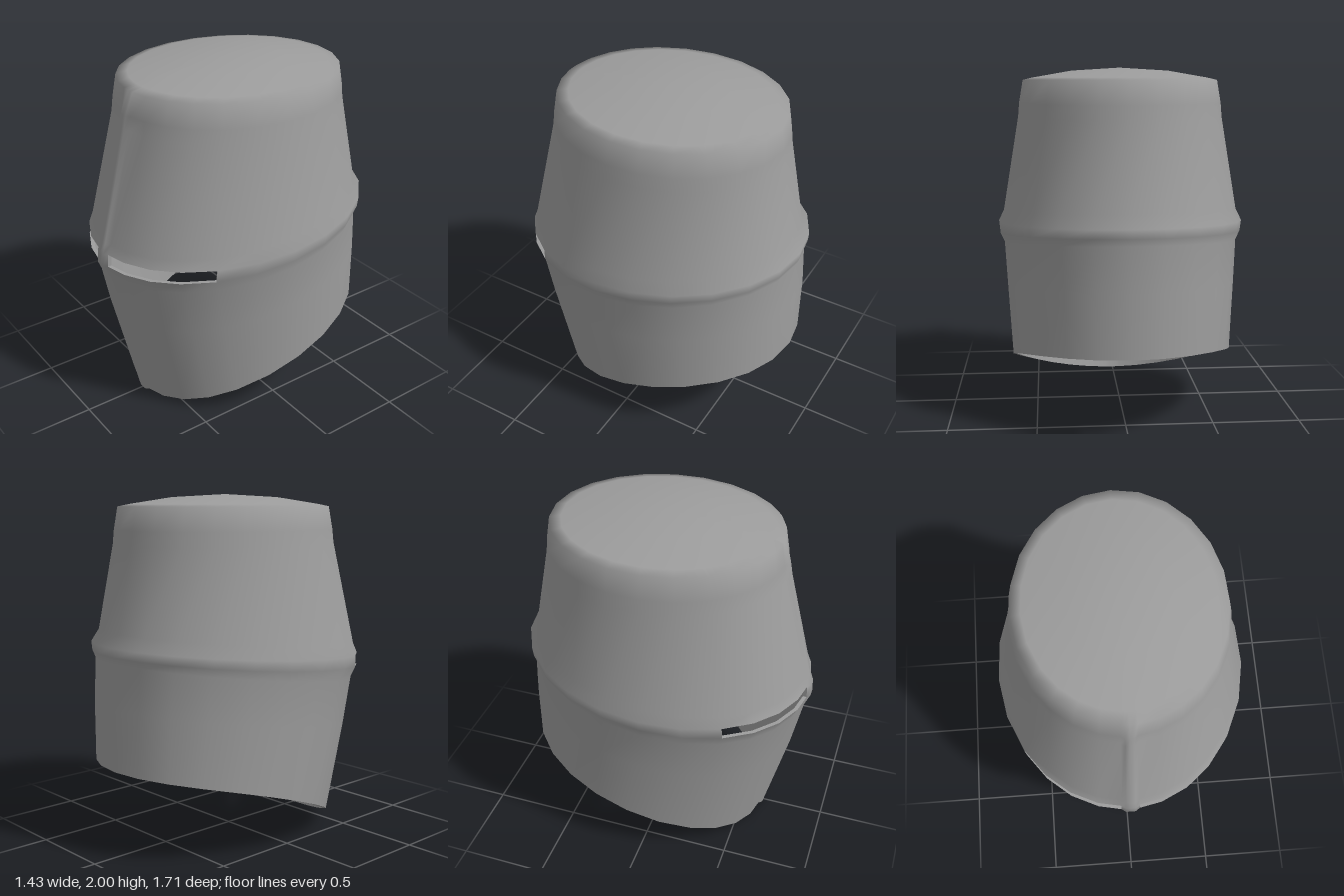
import * as THREE from 'three';

// Rings from the bottom up: half width, front z, back z, front y, back y, sideways bow, nose ridge height
const RINGS = [
  [0.642, 0.605, -0.850, 0.00, 0.49, 0.08, 0.02],
  [0.670, 0.742, -0.850, 0.58, 0.84, 0.02, 0.022],
  [0.686, 0.800, -0.834, 0.88, 1.09, 0, 0.022],
  [0.712, 0.838, -0.850, 0.96, 1.13, 0, 0.016],
  [0.718, 0.834, -0.854, 1.035, 1.18, 0, 0.016],
  [0.688, 0.812, -0.805, 1.09, 1.25, 0, 0.02],
  [0.592, 0.655, -0.712, 1.72, 1.72, 0, 0.02],
  [0.585, 0.645, -0.704, 1.80, 1.80, 0, 0.015],
  [0.562, 0.622, -0.682, 1.93, 1.93, 0, 0],
];
const SLIT_ROW = 3;
const WALL = 0.022;

// Angles from the front (0) to the back (PI), mirrored to a full turn
const SLIT_END = 0.96;
const half = [0, 0.04, 0.075, 0.26, 0.49, 0.72, SLIT_END];
for (let k = 1; k <= 8; k++) half.push(SLIT_END + (Math.PI - SLIT_END) * k / 8);
const ANGLES = [...half, ...half.slice(1, -1).reverse().map(a => -a)];
const N = ANGLES.length;

// The sight slits run over four columns on each side of the nose ridge
const isOpen = (row, col) => {
  const c = Math.min(col, N - 1 - col);
  return row === SLIT_ROW && c >= 2 && c <= 5;
};

function ringPoint(row, col, inset) {
  const [w, zf, zb, yf, yb, bow, ridge] = RINGS[row];
  const a = ANGLES[col % N];
  const c = Math.cos(a), s = Math.sin(a);
  const z = (zf + zb) / 2 + ((zf - zb) / 2 - inset) * c;
  const lift = Math.abs(a) < 0.05 && !inset ? ridge : 0;
  const top = row === RINGS.length - 1 ? inset : 0;
  return new THREE.Vector3((w - inset) * s, yf + (yb - yf) * (1 - c) / 2 + bow * s * s - top, z + lift);
}

function makeGeometry(points, index) {
  const g = new THREE.BufferGeometry().setFromPoints(points);
  if (index) g.setIndex(index);
  g.computeVertexNormals();
  return g;
}

// One skin of the helmet: walls with open slits, closed by a shallow dome
function skin(inset) {
  const points = [], index = [];
  RINGS.forEach((r, row) => ANGLES.forEach((a, col) => points.push(ringPoint(row, col, inset))));
  const last = RINGS.length - 1;
  const zc = (RINGS[last][1] + RINGS[last][2]) / 2;
  const domeScales = [0.9, 0.5];
  for (const k of domeScales) {
    for (let col = 0; col < N; col++) {
      const p = ringPoint(last, col, inset);
      points.push(new THREE.Vector3(p.x * k, p.y + 0.07 * (1 - k * k), zc + (p.z - zc) * k));
    }
  }
  const apex = points.length;
  points.push(new THREE.Vector3(0, 2 - inset, zc));

  const face = (a, b, c) => (inset ? index.push(a, c, b) : index.push(a, b, c));
  const rows = RINGS.length + domeScales.length;
  for (let row = 0; row < rows; row++) {
    for (let col = 0; col < N; col++) {
      if (isOpen(row, col)) continue;
      const next = (col + 1) % N;
      const a = row * N + col, b = row * N + next;
      if (row === rows - 1) face(a, b, apex);
      else {
        face(a, b, b + N);
        face(a, b + N, a + N);
      }
    }
  }
  return makeGeometry(points, index);
}

// Flat strips joining the two skins along a list of [row, col] edges
function edgeStrips(edges) {
  const points = [];
  for (const [[r0, c0], [r1, c1]] of edges) {
    const a = ringPoint(r0, c0, 0), b = ringPoint(r1, c1, 0);
    const c = ringPoint(r1, c1, WALL), d = ringPoint(r0, c0, WALL);
    points.push(a, b, c, a, c, d);
  }
  return makeGeometry(points);
}

export function createModel() {
  const group = new THREE.Group();
  group.name = 'helmet';
  // Dark steel
  const steel = new THREE.MeshStandardMaterial({ color: 0x9d9d9d });
  const steelEdge = new THREE.MeshStandardMaterial({ color: 0x9d9d9d, side: THREE.DoubleSide });
  const add = (name, geometry, mat) => {
    const mesh = new THREE.Mesh(geometry, mat);
    mesh.name = name;
    group.add(mesh);
  };

  add('outerShell', skin(0), steel);
  add('innerShell', skin(WALL), steel);

  // Bottom rim and slit edges
  const rim = [], slits = [];
  for (let col = 0; col < N; col++) {
    rim.push([[0, col], [0, col + 1]]);
    if (!isOpen(SLIT_ROW, col)) continue;
    const top = SLIT_ROW + 1;
    slits.push([[SLIT_ROW, col], [SLIT_ROW, col + 1]], [[top, col], [top, col + 1]]);
    if (!isOpen(SLIT_ROW, col - 1)) slits.push([[SLIT_ROW, col], [top, col]]);
    if (!isOpen(SLIT_ROW, col + 1)) slits.push([[SLIT_ROW, col + 1], [top, col + 1]]);
  }
  add('bottomRim', edgeStrips(rim), steelEdge);
  add('sightSlitEdges', edgeStrips(slits), steelEdge);
  return group;
}
